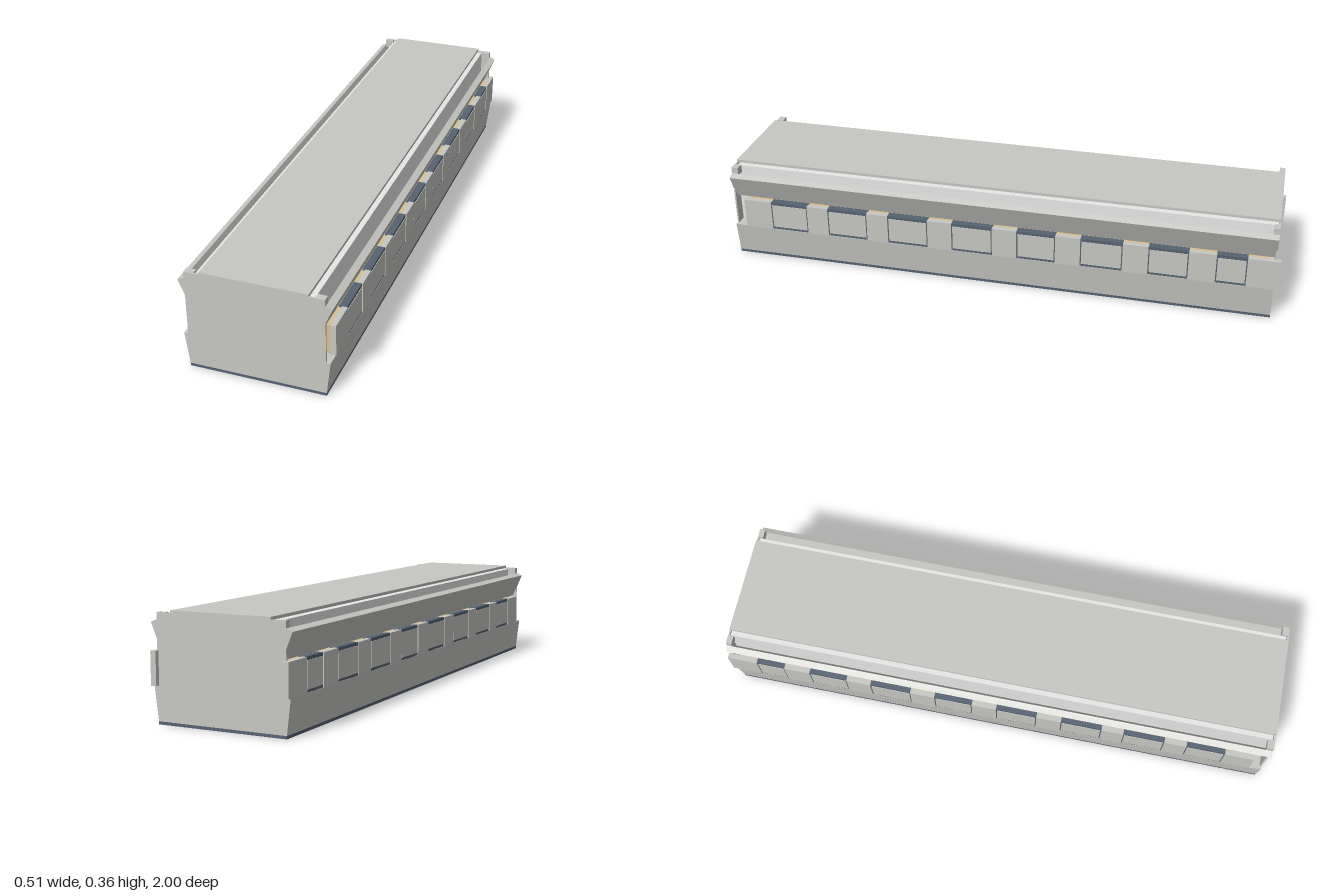
import * as THREE from 'three';

const mat = (name, color) => {
  const m = new THREE.MeshStandardMaterial({ color });
  m.name = name;
  return m;
};

export function createModel() {
  const group = new THREE.Group();
  const grey = mat('lightGrey', 0xc6c6c2);
  const navy = mat('slateBlue', 0x566272);
  const white = mat('white', 0xf6f6f6);
  const sand = mat('sand', 0xd8c08c);
  const zBack = -0.985, zFront = 1;

  const add = (name, geometry, material) => {
    const mesh = new THREE.Mesh(geometry, material);
    mesh.name = name;
    group.add(mesh);
    return mesh;
  };
  // Box given by its limits on each axis
  const box = (name, material, x0, x1, y0, y1, z0, z1) => {
    const mesh = add(name, new THREE.BoxGeometry(Math.abs(x1 - x0), y1 - y0, z1 - z0), material);
    mesh.position.set((x0 + x1) / 2, (y0 + y1) / 2, (z0 + z1) / 2);
  };
  // Cross-section in x and y, drawn out along z
  const prism = (name, material, points, z0, z1) => {
    const shape = new THREE.Shape(points.map(([x, y]) => new THREE.Vector2(x, y)));
    const geometry = new THREE.ExtrudeGeometry(shape, { depth: z1 - z0, bevelEnabled: false });
    add(name, geometry, material).position.z = z0;
  };

  // Floor, inner liner and roof
  box('floor', navy, -0.232, 0.232, 0, 0.01, zBack, zFront);
  box('innerLiner', white, -0.197, 0.197, 0.12, 0.35, -0.978, 0.992);
  box('roofPanel', grey, -0.18, 0.18, 0.353, 0.363, zBack, zFront);

  // Lower body with outward-leaning sides
  prism('lowerBody', grey, [[-0.232, 0.01], [0.232, 0.01], [0.246, 0.125], [-0.246, 0.125]], zBack, zFront);

  // Thin end walls that follow the full outline
  const half = [[0.232, 0.01], [0.246, 0.125], [0.232, 0.125], [0.232, 0.27], [0.254, 0.323],
    [0.232, 0.332], [0.232, 0.355], [0.18, 0.355], [0.18, 0.363]];
  const outline = [...half, ...half.map(([x, y]) => [-x, y]).reverse()];
  prism('frontWall', grey, outline, zFront - 0.006, zFront);
  prism('backWall', grey, outline, zBack, zBack + 0.006);

  const windows = [[0.71, 0.85], [0.48, 0.63], [0.25, 0.4], [0.01, 0.16],
    [-0.22, -0.08], [-0.46, -0.31], [-0.69, -0.55], [-0.89, -0.785]];

  for (const s of [1, -1]) {
    // Slanted eave board
    prism('eave', grey, [[s * 0.254, 0.323], [s * 0.232, 0.332], [s * 0.2, 0.25], [s * 0.217, 0.235]],
      zBack, zFront);

    // Corner blocks beside the roof
    box('cornerBlock', grey, s * 0.2, s * 0.232, 0.325, 0.355, 0.975, zFront);
    box('cornerBlock', grey, s * 0.2, s * 0.232, 0.325, 0.355, zBack, zBack + 0.02);

    // Inner ledge behind the window band
    box('innerLedge', sand, s * 0.197, s * 0.232, 0.125, 0.23, -0.96, 0.95);

    // Window band: pillars between framed panes
    let end = 0.955;
    for (const [z0, z1] of windows) {
      box('pillar', grey, s * 0.228, s * 0.248, 0.124, 0.235, z1, end);
      box('windowFrame', navy, s * 0.218, s * 0.245, 0.125, 0.235, z0, z1);
      box('windowPane', grey, s * 0.243, s * 0.247, 0.134, 0.224, z0 + 0.004, z1 - 0.004);
      end = z0;
    }
    box('pillar', grey, s * 0.228, s * 0.248, 0.124, 0.235, -1, end);
  }
  return group;
}
